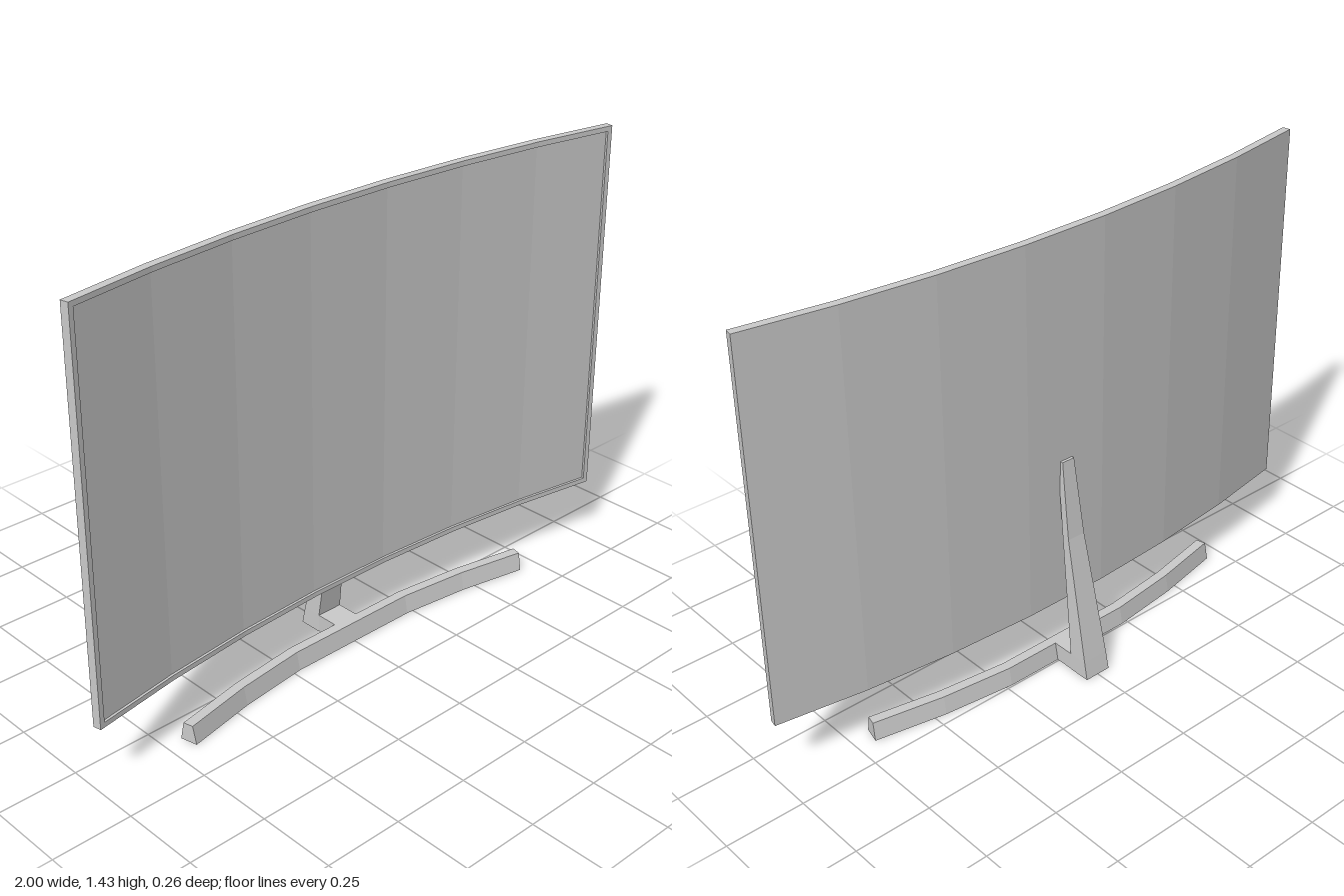
import * as THREE from 'three';

// Flat-shaded solid skinned over matching rings of points, closed at both ends.
function loft(rings) {
  const pos = [];
  const tri = (...pts) => pts.forEach((p) => pos.push(...p));
  const n = rings[0].length;
  for (let k = 0; k < rings.length - 1; k++) {
    for (let i = 0; i < n; i++) {
      const j = (i + 1) % n;
      const [p, q] = [rings[k][i], rings[k][j]];
      const [p2, q2] = [rings[k + 1][i], rings[k + 1][j]];
      tri(p, p2, q);
      tri(q, p2, q2);
    }
  }
  const first = rings[0], last = rings[rings.length - 1];
  for (let i = 1; i < n - 1; i++) {
    tri(first[0], first[i], first[i + 1]);
    tri(last[0], last[i + 1], last[i]);
  }
  const geo = new THREE.BufferGeometry();
  geo.setAttribute('position', new THREE.Float32BufferAttribute(pos, 3));
  geo.computeVertexNormals();
  return geo;
}

// Nodes along an arc that bows toward the front; z0 is its flat middle.
function arcNodes(radius, angles, z0) {
  const flat = Math.min(...angles.map(Math.abs));
  const zc = z0 + radius * Math.cos(flat);
  return angles.map((a) => ({
    x: radius * Math.sin(a), z: zc - radius * Math.cos(a),
    nx: -Math.sin(a), nz: Math.cos(a),
  }));
}

const mixNodes = (a, b, t) =>
  Object.fromEntries(Object.keys(a).map((k) => [k, a[k] + (b[k] - a[k]) * t]));

// Sweep a profile of [depth, y] points along the nodes.
const sweep = (nodes, profile) =>
  loft(nodes.map((n) => profile.map(([d, y]) => [n.x + n.nx * d, y, n.z + n.nz * d])));

const rect = (d0, d1, y0, y1) => [[d0, y0], [d1, y0], [d1, y1], [d0, y1]];

export function createModel() {
  const model = new THREE.Group();
  model.name = 'curvedMonitor';
  const grey = new THREE.MeshStandardMaterial({ color: 0xcccccc });
  grey.name = 'light grey';
  const add = (name, geo, parent = model) => {
    const mesh = new THREE.Mesh(geo, grey);
    mesh.name = name;
    parent.add(mesh);
    return mesh;
  };

  // Curved display in seven flat facets
  const display = new THREE.Group();
  display.name = 'display';
  model.add(display);
  const bottom = 0.213, top = 1.435, bezel = 0.016, recess = 0.018, front = 0.026;
  const angles = Array.from({ length: 8 }, (_, i) => 0.188 * ((2 * i) / 7 - 1));
  const nodes = arcNodes(5.35, angles, 0.014);
  const t = bezel / 0.287;
  const leftInner = mixNodes(nodes[0], nodes[1], t);
  const rightInner = mixNodes(nodes[7], nodes[6], t);
  const inner = [leftInner, ...nodes.slice(1, 7), rightInner];

  add('housing', sweep(nodes, rect(0, recess - 0.001, bottom, top)), display);
  add('screen', sweep(inner, rect(recess - 0.001, recess, bottom + bezel, top - bezel)), display);
  add('bezelBottom', sweep(inner, rect(recess - 0.001, front, bottom, bottom + bezel)), display);
  add('bezelTop', sweep(inner, rect(recess - 0.001, front, top - bezel, top)), display);
  const side = rect(recess - 0.001, front, bottom, top);
  add('bezelRight', sweep([nodes[0], leftInner], side), display);
  add('bezelLeft', sweep([rightInner, nodes[7]], side), display);

  // Curved foot bar with sloping sides
  const barNodes = arcNodes(3, [-0.2328, -0.155, -0.077, 0.077, 0.155, 0.2328], 0.005);
  add('footBar', sweep(barNodes, [[0, 0], [0.055, 0], [0.043, 0.058], [0.011, 0.058]]));

  // Tapered column rising to the back of the display: [y, back z, front z, half width]
  const levels = [
    [0, -0.13, -0.055, 0.045],
    [0.058, -0.118, -0.055, 0.044],
    [0.46, -0.03, -0.005, 0.031],
    [0.63, -0.006, 0.016, 0.025],
    [0.71, 0.005, 0.016, 0.022],
  ];
  add('column', loft(levels.map(([y, zb, zf, w]) =>
    [[-w, y, zb], [w, y, zb], [w, y, zf], [-w, y, zf]])));

  // Short block joining column and foot bar
  const link = new THREE.BoxGeometry(0.088, 0.058, 0.085);
  link.translate(0, 0.029, -0.0175);
  add('footLink', link);

  return model;
}
